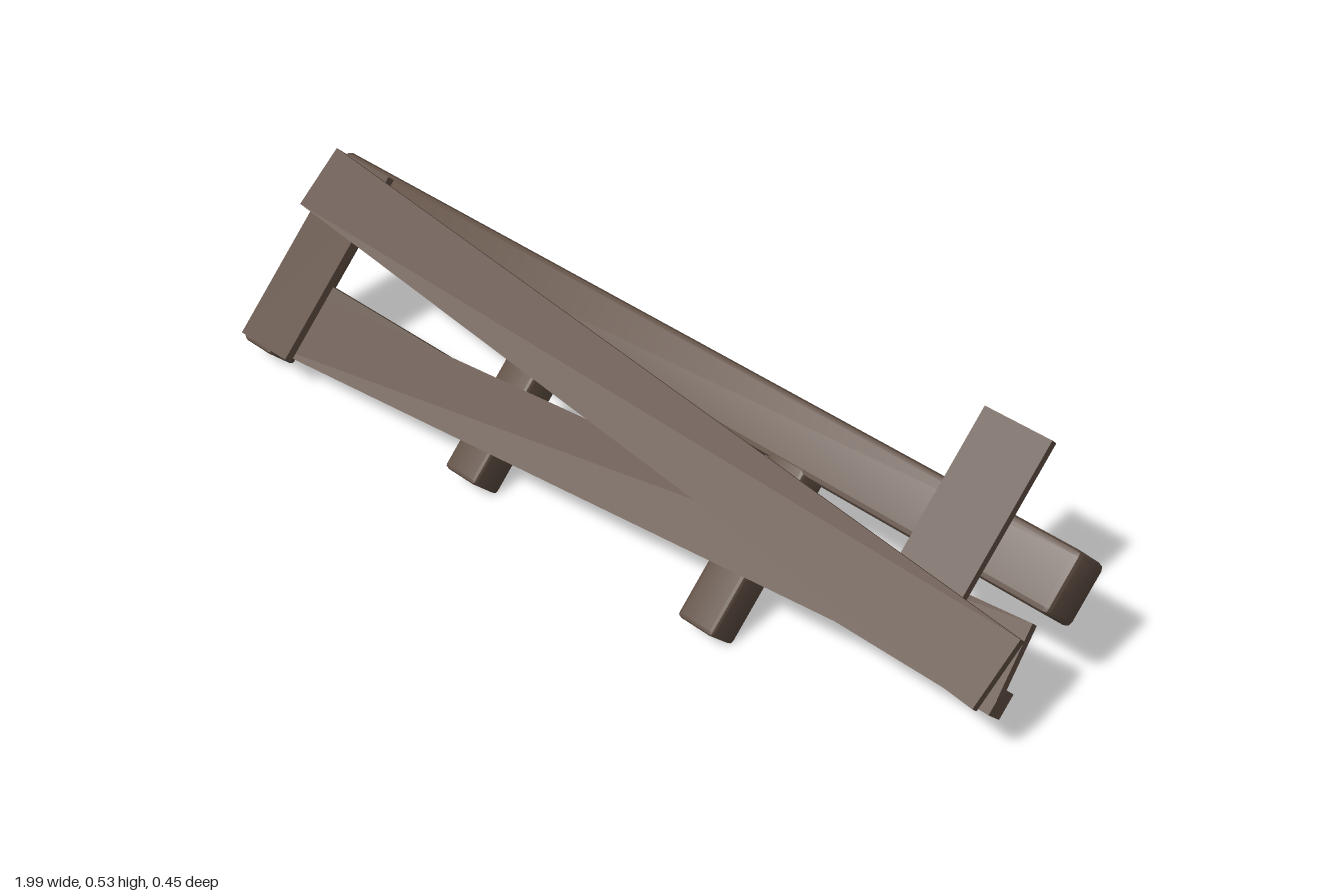
import * as THREE from 'three';
import { RoundedBoxGeometry } from 'three/addons/geometries/RoundedBoxGeometry.js';
import { toCreasedNormals } from 'three/addons/utils/BufferGeometryUtils.js';

export function createModel() {
  const model = new THREE.Group();
  model.name = 'brokenFence';
  const wood = new THREE.MeshStandardMaterial({ color: 0x5f4e43 });
  wood.name = 'weatheredWood';

  // Everything is laid out flat (x along the rail, y along the pegs, z the face) and then leaned back
  const frame = new THREE.Group();
  frame.name = 'leaningFrame';
  frame.rotation.x = -Math.PI / 4;
  model.add(frame);

  // Timber between two corners, with optional chamfer
  function timber(name, [x0, x1], [y0, y1], [z0, z1], chamfer = 0, tilt = 0) {
    const w = x1 - x0, h = y1 - y0, d = z1 - z0;
    const geometry = chamfer
      ? toCreasedNormals(new RoundedBoxGeometry(w, h, d, 1, chamfer), 0.4)
      : new THREE.BoxGeometry(w, h, d);
    const mesh = new THREE.Mesh(geometry, wood);
    mesh.name = name;
    mesh.position.set((x0 + x1) / 2, (y0 + y1) / 2, (z0 + z1) / 2);
    mesh.rotation.z = tilt;
    frame.add(mesh);
  }

  // Heavy beam and the pegs growing out of it
  timber('mainBeam', [-0.997, 0.988], [0.249, 0.378], [0.058, 0.187], 0.012);
  [-0.945, -0.28, 0.38].forEach((x, i) =>
    timber('peg' + (i + 1), [x - 0.045, x + 0.045], [-0.1, 0.28], [0.096, 0.186], 0.008));

  // Thin rail running through the pegs
  timber('thinRail', [-0.93, 0.985], [0.047, 0.099], [0.131, 0.182]);

  // Two long boards that converge toward the left side
  timber('lowerBoard', [-0.978, 0.992], [-0.007, 0.14], [0.186, 0.207], 0, 0.087);
  timber('upperBoard', [-0.978, 0.992], [0.133, 0.28], [0.228, 0.248], 0, -0.09);

  // Short cross boards sandwiched between them
  timber('rightCrossBoard', [-0.962, -0.812], [-0.088, 0.368], [0.208, 0.228]);
  timber('leftCrossBoard', [0.703, 0.852], [0.068, 0.523], [0.208, 0.228]);

  return model;
}
